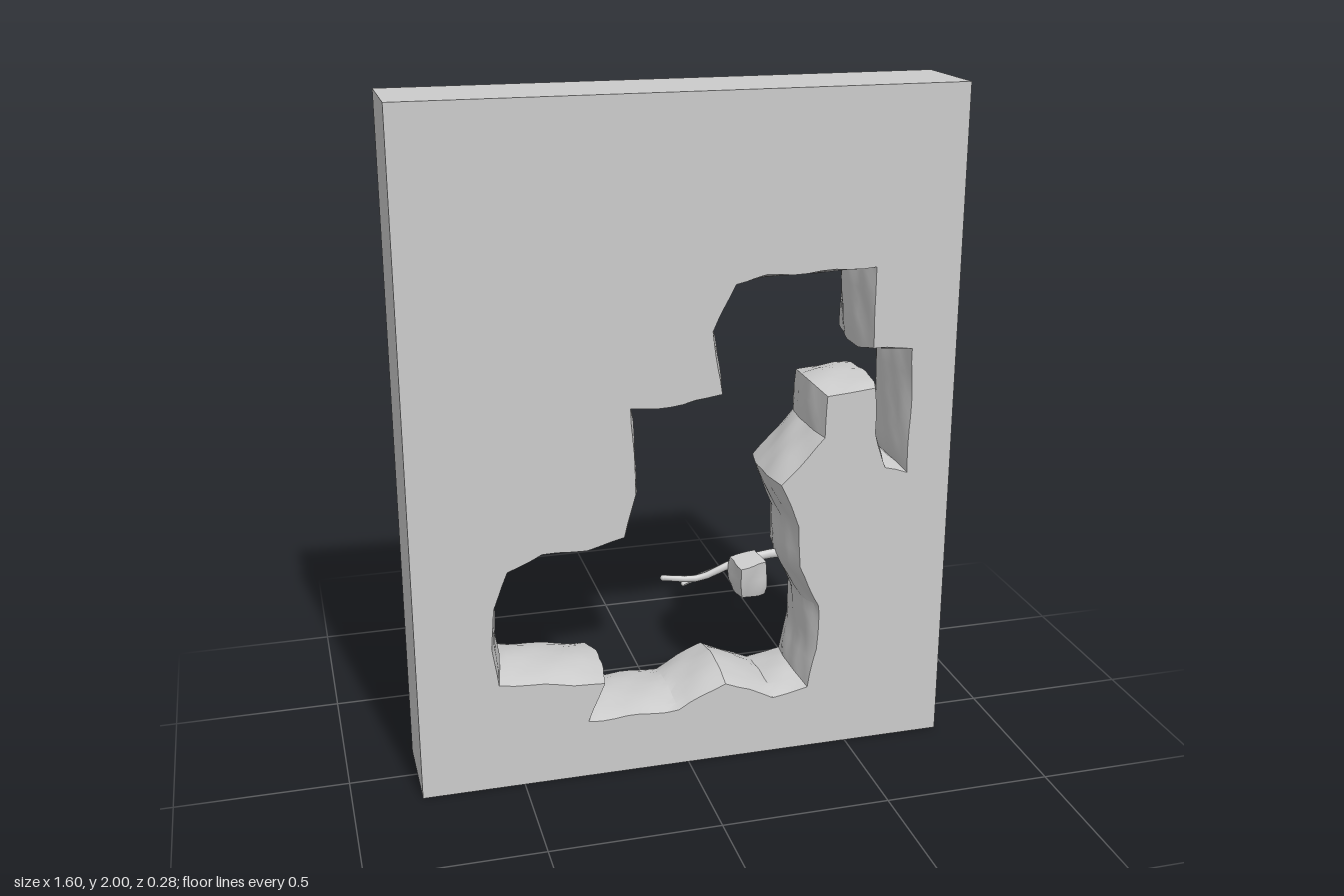
import * as THREE from 'three';
import { toCreasedNormals } from 'three/addons/utils/BufferGeometryUtils.js';

const W = 0.8, H = 2, D = 0.14;

// Cave outline on the slab faces, clockwise from the lower left corner
const OUTLINE = [
  [-0.565, 0.334], [-0.58, 0.45], [-0.576, 0.573], [-0.53, 0.685], [-0.43, 0.727], [-0.3, 0.727], [-0.19, 0.753],
  [-0.157, 0.88], [-0.167, 1.135], [-0.02, 1.135], [0.093, 1.16], [0.066, 1.342], [0.13, 1.475],
  [0.22, 1.49], [0.544, 1.496], [0.544, 1.257], [0.666, 1.252], [0.666, 0.868], [0.595, 0.89],
  [0.56, 1.0], [0.554, 1.138], [0.41, 1.125], [0.406, 1.0], [0.28, 0.865], [0.337, 0.73],
  [0.337, 0.6], [0.4, 0.467], [0.4, 0.324], [0.374, 0.2], [0.263, 0.18], [0.114, 0.25],
  [-0.03, 0.18], [-0.305, 0.18], [-0.257, 0.297],
].map(([x, y]) => new THREE.Vector2(x, y));

// Small smooth ripple for the rock
const ripple = (x, y, z) =>
  0.5 * Math.sin(31 * x + 17 * y + 9 * z) + 0.5 * Math.sin(23 * y - 37 * x + 21 * z + 1.3);

// Outline split into short steps, each point with a normal into the opening
function outlinePoints() {
  const pts = [];
  OUTLINE.forEach((a, i) => {
    const b = OUTLINE[(i + 1) % OUTLINE.length];
    const n = Math.ceil(a.distanceTo(b) / 0.045);
    for (let k = 0; k < n; k++) pts.push(a.clone().lerp(b, k / n));
  });
  const unit = (a, b) => b.clone().sub(a).normalize();
  return pts.map((p, i) => {
    const d = unit(pts[(i + pts.length - 1) % pts.length], p)
      .add(unit(p, pts[(i + 1) % pts.length])).normalize();
    return { p, n: new THREE.Vector2(d.y, -d.x) };
  });
}

// Rings of the opening from back to front, bulging inward at mid depth
function caveRings(rows) {
  const pts = outlinePoints(), rings = [];
  for (let j = 0; j <= rows; j++) {
    const t = j / rows, z = -D + 2 * D * t;
    rings.push(pts.map(({ p, n }) => {
      const push = 0.023 * Math.sin(Math.PI * t) ** 0.8 + 0.004 * ripple(p.x, p.y, 3 * z);
      return new THREE.Vector3(p.x + n.x * push, p.y + n.y * push, z);
    }));
  }
  return rings;
}

function wallGeometry(rings) {
  const count = rings[0].length, index = [];
  for (let j = 0; j < rings.length - 1; j++) {
    for (let i = 0; i < count; i++) {
      const a = j * count + i, b = j * count + (i + 1) % count;
      index.push(a, b, b + count, a, b + count, a + count);
    }
  }
  const g = new THREE.BufferGeometry().setFromPoints(rings.flat());
  g.setIndex(index);
  return toCreasedNormals(g, 0.5);
}

function faceGeometry(ring) {
  const s = new THREE.Shape();
  s.moveTo(-W, 0).lineTo(W, 0).lineTo(W, H).lineTo(-W, H).closePath();
  s.holes.push(new THREE.Path(ring.map(v => new THREE.Vector2(v.x, v.y))));
  return new THREE.ShapeGeometry(s);
}

// Tube that narrows towards its tip, closed at both ends
function twigGeometry(points, r0, r1) {
  const curve = new THREE.CatmullRomCurve3(points.map(p => new THREE.Vector3(...p)));
  const steps = 12, sides = 8;
  const g = new THREE.TubeGeometry(curve, steps, 1, sides);
  const pos = g.attributes.position, v = new THREE.Vector3();
  for (let i = 0; i < pos.count; i++) {
    const t = Math.floor(i / (sides + 1)) / steps, c = curve.getPointAt(t);
    v.fromBufferAttribute(pos, i).sub(c).multiplyScalar(r0 + (r1 - r0) * t).add(c);
    pos.setXYZ(i, v.x, v.y, v.z);
  }
  g.computeVertexNormals();
  return g;
}

export function createModel() {
  const model = new THREE.Group();
  const mat = new THREE.MeshStandardMaterial({ color: 0xcccccc });
  const add = (name, geometry, parent = model) => {
    const m = new THREE.Mesh(geometry, mat);
    m.name = name;
    parent.add(m);
    return m;
  };

  // Slab faces with the opening, and the rough wall joining them
  const rings = caveRings(10);
  add('frontFace', faceGeometry(rings[rings.length - 1])).position.z = D;
  const back = faceGeometry(rings[0].map(v => new THREE.Vector3(-v.x, v.y, 0)));
  const backFace = add('backFace', back);
  backFace.rotation.y = Math.PI;
  backFace.position.z = -D;
  add('caveWall', wallGeometry(rings));

  // Outer sides of the slab
  for (const s of [-1, 1]) {
    const side = add(s > 0 ? 'leftSide' : 'rightSide', new THREE.PlaneGeometry(2 * D, H));
    side.position.set(s * W, H / 2, 0);
    side.rotation.y = s * Math.PI / 2;
    const end = add(s > 0 ? 'topSide' : 'bottomSide', new THREE.PlaneGeometry(2 * W, 2 * D));
    end.position.y = s > 0 ? H : 0;
    end.rotation.x = -s * Math.PI / 2;
  }

  // Forked branch growing from the wall
  const branch = new THREE.Group();
  branch.name = 'branch';
  model.add(branch);
  add('mainTwig', twigGeometry([[0.36, 0.585, -0.02], [0.27, 0.585, -0.01], [0.17, 0.572, 0],
    [0.07, 0.533, -0.01], [-0.04, 0.546, -0.01]], 0.016, 0.009), branch);
  add('forkTwig', twigGeometry([[0.25, 0.583, -0.01], [0.17, 0.557, -0.02],
    [0.09, 0.532, -0.03], [0.03, 0.508, -0.035]], 0.013, 0.008), branch);
  for (const [name, p, r] of [['mainTip', [-0.04, 0.546, -0.01], 0.009], ['forkTip', [0.03, 0.508, -0.035], 0.008]])
    add(name, new THREE.SphereGeometry(r, 8, 6), branch).position.set(...p);

  // Uneven lump hanging on the branch
  const lump = new THREE.BoxGeometry(0.085, 0.105, 0.085, 4, 4, 4);
  const pos = lump.attributes.position;
  for (let i = 0; i < pos.count; i++) {
    const x = pos.getX(i), y = pos.getY(i), z = pos.getZ(i);
    const k = 1 + 0.09 * ripple(2 * x, 2 * y, 4 * z) - 0.12 * (y < -0.04 ? 1 : 0);
    pos.setXYZ(i, x * k, y * (1 + 0.08 * ripple(x, z, y)), z * k);
  }
  const lumpMesh = add('lump', toCreasedNormals(lump, 0.7), branch);
  lumpMesh.position.set(0.208, 0.552, 0.048);
  lumpMesh.rotation.set(0.1, 0.15, 0.04);

  return model;
}
